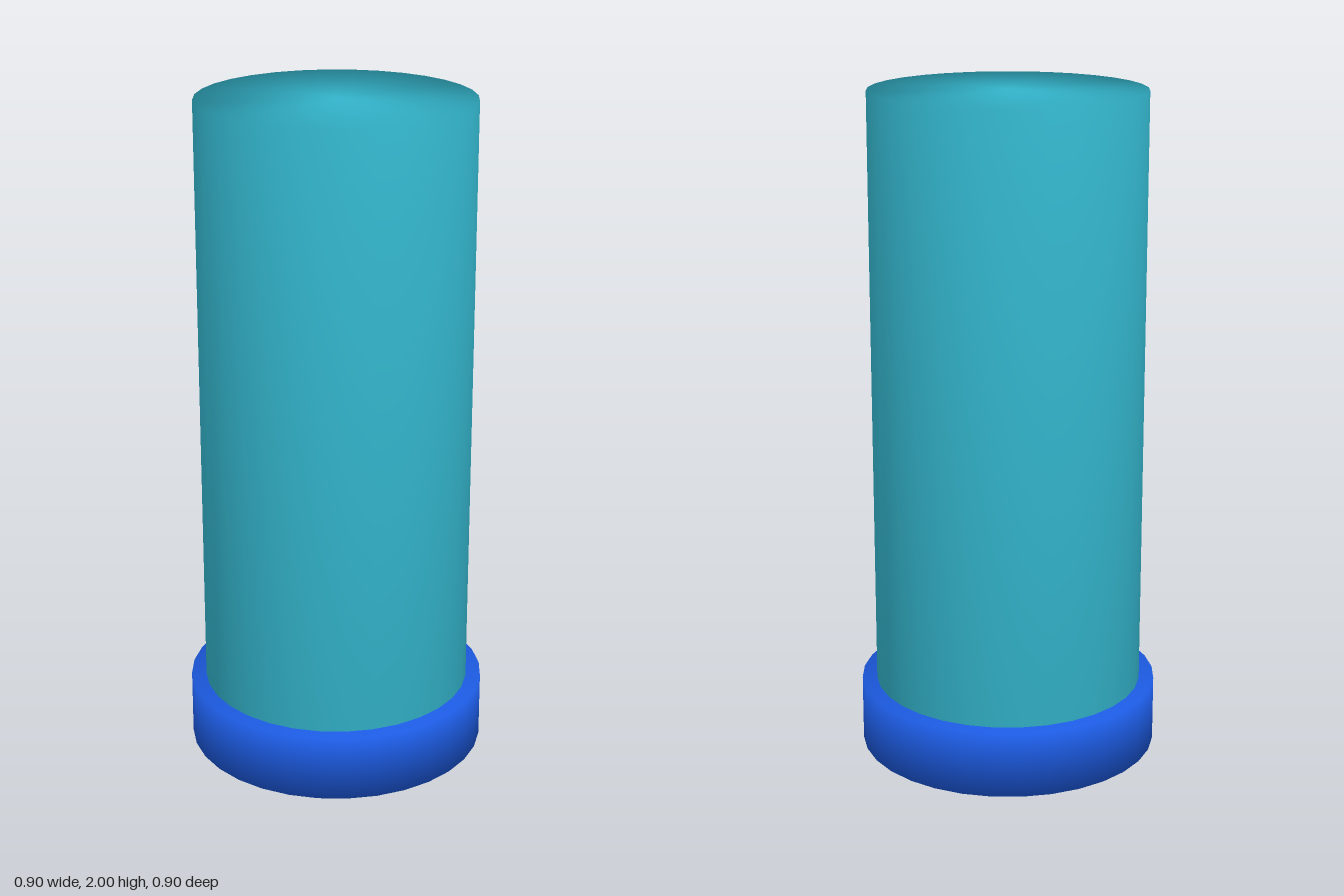
import * as THREE from 'three';
import { mergeVertices } from 'three/addons/utils/BufferGeometryUtils.js';

// Solid 32-sided cylinder with normals blended across the rims
function smoothCylinder(name, radius, bottom, top, color) {
  let geometry = new THREE.CylinderGeometry(radius, radius, top - bottom, 32);
  geometry.deleteAttribute('normal');
  geometry.deleteAttribute('uv');
  geometry = mergeVertices(geometry, 1e-4);
  geometry.computeVertexNormals();
  geometry.translate(0, (top + bottom) / 2, 0);
  const mesh = new THREE.Mesh(geometry, new THREE.MeshStandardMaterial({ color }));
  mesh.name = name;
  return mesh;
}

export function createModel() {
  const model = new THREE.Group();
  model.name = 'pillar';

  // Wide foot disc
  model.add(smoothCylinder('base', 0.45, 0, 0.2, 0x1c5ae0));

  // Tall column standing on the disc
  model.add(smoothCylinder('column', 0.405, 0.2, 2, 0x33b5cc));

  return model;
}
